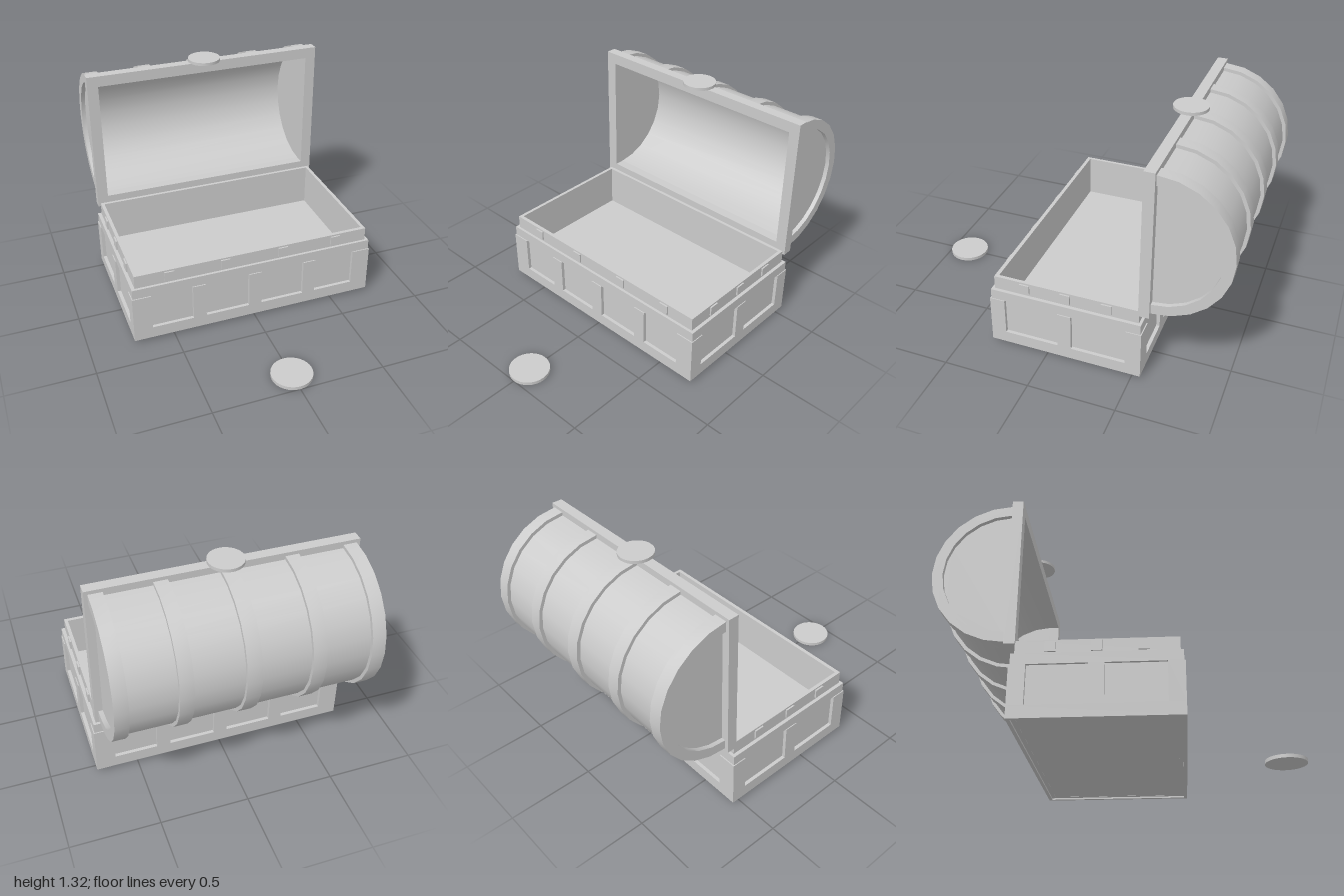
import * as THREE from 'three';
import { toCreasedNormals } from 'three/addons/utils/BufferGeometryUtils.js';

const grey = new THREE.MeshStandardMaterial({ color: 0xcccccc });

function add(parent, name, geometry, x = 0, y = 0, z = 0) {
  const mesh = new THREE.Mesh(geometry, grey);
  mesh.name = name;
  mesh.position.set(x, y, z);
  parent.add(mesh);
  return mesh;
}

// Box given by its half extents in x and z and its y range
function block(parent, name, x, z, hx, hz, y0, y1) {
  return add(parent, name, new THREE.BoxGeometry(2 * hx, y1 - y0, 2 * hz), x, (y0 + y1) / 2, z);
}

function rect(T, a, b) {
  const p = new T();
  p.moveTo(-a, -b).lineTo(a, -b).lineTo(a, b).lineTo(-a, b).closePath();
  return p;
}

// Rectangle with a rectangular hole, extruded along z
function frame(a, b, ia, ib, depth) {
  const shape = rect(THREE.Shape, a, b);
  shape.holes.push(rect(THREE.Path, ia, ib));
  return new THREE.ExtrudeGeometry(shape, { depth, bevelEnabled: false });
}

// The same frame lying flat, rising from y0 to y1
function ring(parent, name, a, b, ia, ib, y0, y1) {
  return add(parent, name, frame(a, b, ia, ib, y1 - y0).rotateX(-Math.PI / 2), 0, y0, 0);
}

// Half ring (or half disc) arching towards -z, running from x0 to x1
function arch(rOut, rIn, x0, x1) {
  const steps = 12, points = [];
  const at = (r, i) => {
    const t = -Math.PI / 2 + (Math.PI * i) / steps;
    return new THREE.Vector2(r * Math.cos(t), r * Math.sin(t));
  };
  for (let i = 0; i <= steps; i++) points.push(at(rOut, i));
  if (rIn > 0) for (let i = steps; i >= 0; i--) points.push(at(rIn, i));
  const geo = new THREE.ExtrudeGeometry(new THREE.Shape(points), { depth: x1 - x0, bevelEnabled: false });
  return toCreasedNormals(geo.rotateY(Math.PI / 2).translate(x0, 0, 0), 0.5);
}

function createBase() {
  const base = new THREE.Group();
  base.name = 'chestBase';
  base.position.z = -0.1075;
  const HX = 0.74, HZ = 0.4425, T = 0.02;

  // Hollow box with its floor
  ring(base, 'innerWalls', HX - T, HZ - T, 0.695, 0.398, 0.03, 0.33);
  block(base, 'floor', 0, 0, 0.7, 0.405, 0.031, 0.19);

  // Raised frame around the recessed panels
  ring(base, 'bottomRail', HX, HZ, HX - T, HZ - T, 0.02, 0.09);
  for (const sx of [-1, 1]) {
    for (const sz of [-1, 1]) {
      const corner = new THREE.Shape();
      corner.moveTo(0.63, HZ - T).lineTo(HX - T, HZ - T).lineTo(HX - T, 0.355)
        .lineTo(HX, 0.355).lineTo(HX, HZ).lineTo(0.63, HZ).closePath();
      const geo = new THREE.ExtrudeGeometry(corner, { depth: 0.22, bevelEnabled: false });
      // Rotations rather than negative scales would swap the arms, so mirror the outline
      const pts = corner.getPoints().map((p) => new THREE.Vector2(p.x * sx, p.y * sz));
      geo.dispose();
      add(base, 'cornerPost', new THREE.ExtrudeGeometry(new THREE.Shape(pts),
        { depth: 0.22, bevelEnabled: false }).rotateX(-Math.PI / 2), 0, 0.09, 0);
    }
    block(base, 'sidePost', sx * (HX - T / 2), 0, T / 2, 0.04, 0.09, 0.31);
    for (const x of [-0.344, 0, 0.344]) {
      block(base, 'wallPost', x, sx * (HZ - T / 2), 0.039, T / 2, 0.09, 0.31);
    }
  }

  // Stepped band and rim
  ring(base, 'band', 0.735, 0.436, 0.695, 0.398, 0.31, 0.37);
  ring(base, 'rim', 0.715, 0.42, 0.695, 0.398, 0.37, 0.45);

  // Studs around the rim
  for (const s of [-1, 1]) {
    for (const x of [-0.513, -0.178, 0.178, 0.513]) {
      block(base, 'rimStud', x, s * 0.42, 0.029, 0.009, 0.383, 0.44);
    }
    for (const z of [-0.238, 0, 0.238]) {
      block(base, 'rimStud', s * 0.715, z, 0.009, 0.029, 0.383, 0.44);
    }
  }
  return base;
}

function createLid() {
  const lid = new THREE.Group();
  lid.name = 'openLid';
  lid.position.set(0, 0.865, -0.585);

  add(lid, 'lidFrame', frame(0.73, 0.435, 0.665, 0.37, 0.06));
  add(lid, 'barrel', arch(0.395, 0.37, -0.67, 0.67));

  // Raised hoops around the barrel
  for (const [x, half] of [[-0.6725, 0.0375], [-0.3475, 0.0375], [0, 0.04], [0.3475, 0.0375], [0.6725, 0.0375]]) {
    add(lid, 'hoop', arch(0.415, 0.375, x - half, x + half));
  }
  // Recessed end panels behind a lip
  for (const s of [-1, 1]) {
    add(lid, 'endPanel', arch(0.38, 0, s * 0.675 - 0.01, s * 0.675 + 0.01));
    add(lid, 'endLip', arch(0.375, 0.357, s * 0.6925 - 0.0175, s * 0.6925 + 0.0175));
  }
  return lid;
}

export function createModel() {
  const model = new THREE.Group();
  model.name = 'treasureChest';
  model.add(createBase(), createLid());

  // Loose discs, one on the lid and one on the ground
  add(model, 'lidDisc', new THREE.CylinderGeometry(0.098, 0.098, 0.018, 32), 0, 1.309, -0.557);
  add(model, 'groundDisc', new THREE.CylinderGeometry(0.118, 0.118, 0.02, 32), 0, 0.01, 0.882);
  return model;
}
